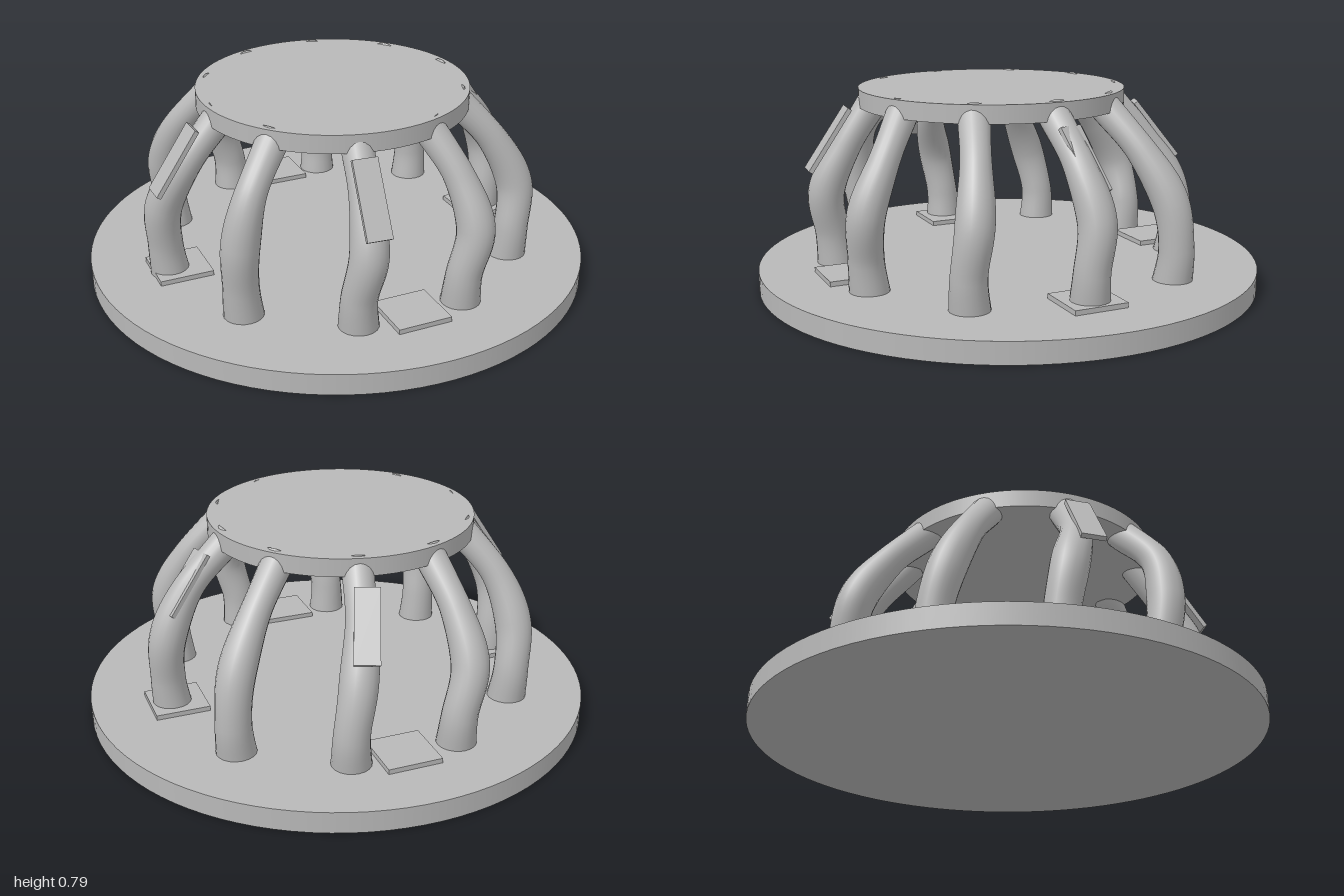
import * as THREE from 'three';

const V = (x, y, z) => new THREE.Vector3(x, y, z);

export function createModel() {
  const group = new THREE.Group();
  const grey = new THREE.MeshStandardMaterial({ color: 0xb8b8b8 });
  grey.name = 'plain grey';

  const add = (name, geometry, parent = group) => {
    const mesh = new THREE.Mesh(geometry, grey);
    mesh.name = name;
    parent.add(mesh);
    return mesh;
  };

  // round base and the smaller, slightly off-centre top disc
  add('base', new THREE.CylinderGeometry(1, 1, 0.083, 96)).position.y = 0.0415;
  const disc = V(-0.04, 0.748, 0.055);
  add('topDisc', new THREE.CylinderGeometry(0.527, 0.527, 0.07, 96)).position.copy(disc);

  // four square pads on the base
  for (let i = 0; i < 4; i++) {
    const a = i * Math.PI / 2;
    add('pad', new THREE.BoxGeometry(0.213, 0.04, 0.213))
      .position.set(0.675 * Math.cos(a), 0.082, 0.675 * Math.sin(a));
  }

  // wavy, slightly tapering limb with a flat upper end
  const limb = (points) => {
    const part = new THREE.Group();
    part.name = 'limb';
    group.add(part);
    const curve = new THREE.CatmullRomCurve3(points);
    const rows = 40, sides = 20;
    const radius = (u) => 0.064 + 0.014 * Math.pow(1 - u, 3)
      + 0.007 * Math.sin(u * Math.PI) * Math.sin(u * 9 - 2.5) - 0.004 * u;
    const tube = new THREE.TubeGeometry(curve, rows, 1, sides);
    const pos = tube.attributes.position, p = V(0, 0, 0);
    for (let i = 0; i <= rows; i++) {
      const u = i / rows, c = curve.getPointAt(u);
      for (let j = 0; j <= sides; j++) {
        const n = i * (sides + 1) + j;
        p.fromBufferAttribute(pos, n).sub(c).multiplyScalar(radius(u)).add(c);
        pos.setXYZ(n, p.x, p.y, p.z);
      }
    }
    add('limbBody', tube, part);
    const cap = add('limbEnd', new THREE.CircleGeometry(radius(1), sides), part);
    cap.position.copy(curve.getPointAt(1));
    cap.quaternion.setFromUnitVectors(V(0, 0, 1), curve.getTangentAt(1));
  };

  // x, z of each limb at the foot, the knee and the shoulder
  const limbs = [
    [0.69, 0.0, 0.70, -0.02, 0.61, 0.0],
    [0.565, 0.41, 0.59, 0.40, 0.51, 0.36],
    [0.21, 0.66, 0.25, 0.68, 0.22, 0.60],
    [-0.21, 0.66, -0.19, 0.70, -0.17, 0.62],
    [-0.56, 0.42, -0.575, 0.45, -0.53, 0.44],
    [-0.71, 0.0, -0.73, 0.03, -0.65, 0.08],
    [-0.57, -0.41, -0.60, -0.38, -0.56, -0.30],
    [-0.22, -0.66, -0.27, -0.65, -0.26, -0.54],
    [0.20, -0.66, 0.17, -0.65, 0.12, -0.55],
    [0.56, -0.43, 0.55, -0.42, 0.46, -0.35],
  ];
  limbs.forEach(([fx, fz, kx, kz, sx, sz], i) => {
    const a = (-4 + 36 * i) * Math.PI / 180;
    limb([
      V(fx, 0.06, fz),
      V(fx * 1.02, 0.2, fz * 1.02),
      V(kx, 0.38, kz),
      V(sx, 0.56, sz),
      V(disc.x + 0.46 * Math.cos(a), 0.748, disc.z + 0.46 * Math.sin(a)),
    ]);
  });

  // thin slanted plates lying on four of the limbs, from upper to lower end
  const plates = [
    [V(0.54, 0.70, 0.01), V(0.70, 0.49, -0.035)],
    [V(-0.17, 0.71, 0.61), V(-0.185, 0.47, 0.77)],
    [V(-0.62, 0.71, 0.10), V(-0.78, 0.475, 0.105)],
    [V(0.09, 0.70, -0.53), V(0.155, 0.48, -0.69)],
  ];
  for (const [top, low] of plates) {
    const up = top.clone().sub(low);
    const plate = add('slantedPlate', new THREE.BoxGeometry(0.095, up.length(), 0.018));
    plate.position.copy(top).add(low).multiplyScalar(0.5);
    up.normalize();
    const side = V(0, 1, 0).cross(up).normalize();
    plate.quaternion.setFromRotationMatrix(
      new THREE.Matrix4().makeBasis(side, up, side.clone().cross(up)));
  }
  return group;
}
